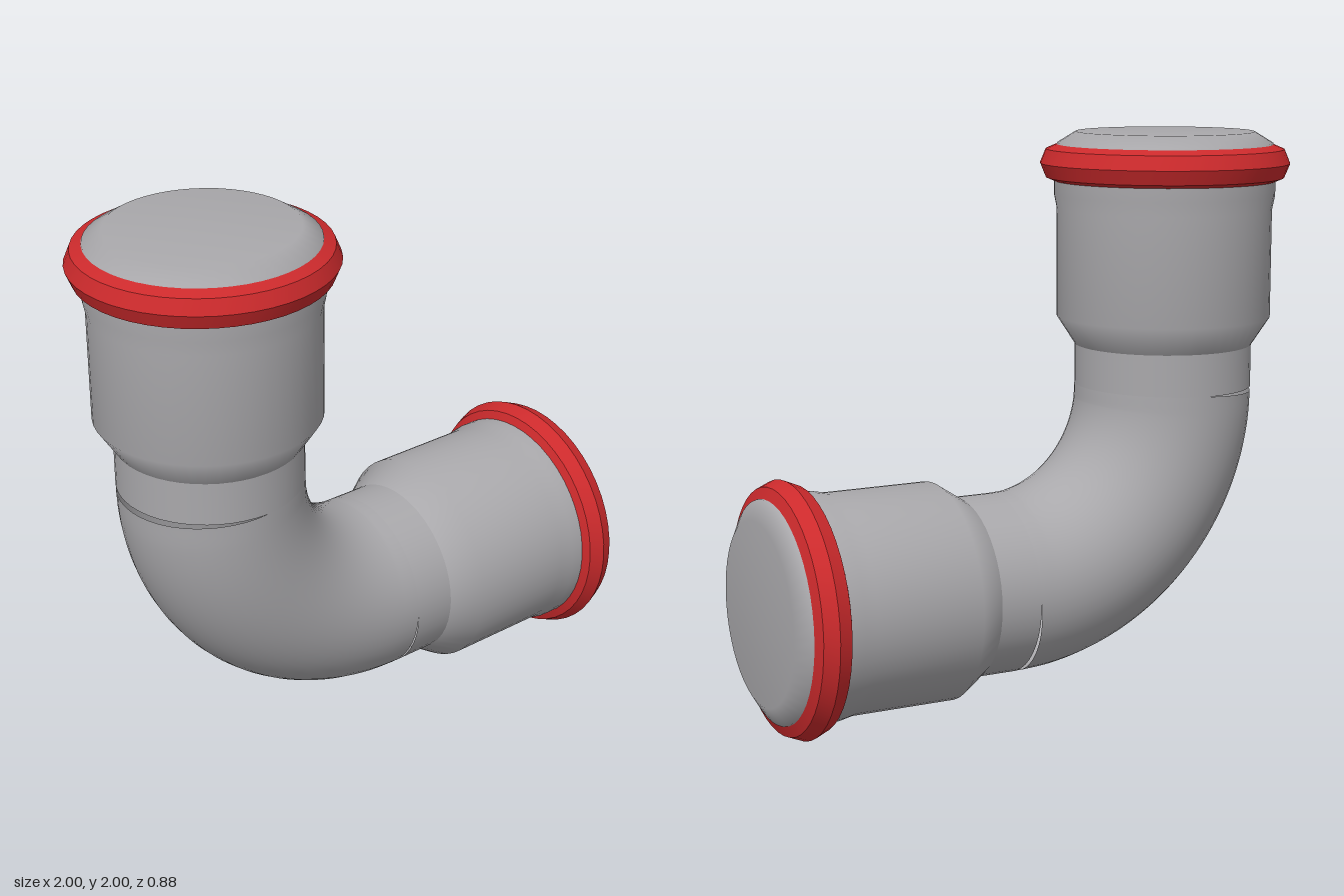
import * as THREE from 'three';
import { toCreasedNormals } from 'three/addons/utils/BufferGeometryUtils.js';

const PIPE_R = 0.315;
const BEND_R = 0.655;
const AXIS_X = -0.56; // axis of the upright leg
const AXIS_Y = 0.445; // axis of the level leg

export function createModel() {
  const grey = new THREE.MeshStandardMaterial({ color: 0xa9a8ab, side: THREE.DoubleSide });
  grey.name = 'pipe grey';
  const red = new THREE.MeshStandardMaterial({ color: 0xcc2a2c });
  red.name = 'seal red';

  const model = new THREE.Group();
  model.name = 'pipeElbow';

  const add = (parent, name, geometry, material, y = 0) => {
    const mesh = new THREE.Mesh(geometry, material);
    mesh.name = name;
    mesh.position.y = y;
    parent.add(mesh);
    return mesh;
  };

  // Curved elbow: quarter circle through 13 points, open at both ends
  const points = [];
  for (let i = 0; i <= 12; i++) {
    const a = Math.PI + (i / 12) * (Math.PI / 2);
    points.push(new THREE.Vector3(
      AXIS_X + BEND_R + BEND_R * Math.cos(a),
      AXIS_Y + BEND_R + BEND_R * Math.sin(a),
      0
    ));
  }
  add(model, 'elbowBend',
    new THREE.TubeGeometry(new THREE.CatmullRomCurve3(points), 48, PIPE_R, 48), grey);

  // Socket profile, measured along the leg from the end of the bend
  const profile = [
    [PIPE_R, 0.15], [0.38, 0.25], [0.38, 0.63], [0.39, 0.68],
    [0.39, 0.81], [0.38, 0.86], [PIPE_R, 0.9], [0, 0.9],
  ].map(([r, y]) => new THREE.Vector2(r, y));

  // A straight leg with its socket and sealing ring, built along +y
  const makeLeg = (name) => {
    const leg = new THREE.Group();
    leg.name = name;
    add(leg, 'straightPipe',
      new THREE.CylinderGeometry(PIPE_R, PIPE_R, 0.15, 48, 1, true), grey, 0.075);
    add(leg, 'socket', new THREE.LatheGeometry(profile, 48), grey);
    const ring = new THREE.TorusGeometry(0.37, 0.07, 8, 48).rotateX(Math.PI / 2);
    add(leg, 'sealRing', toCreasedNormals(ring, 0.5), red, 0.79);
    model.add(leg);
    return leg;
  };

  makeLeg('uprightLeg').position.set(AXIS_X, AXIS_Y + BEND_R, 0);
  const level = makeLeg('levelLeg');
  level.position.set(AXIS_X + BEND_R, AXIS_Y, 0);
  level.rotation.z = -Math.PI / 2;

  return model;
}
